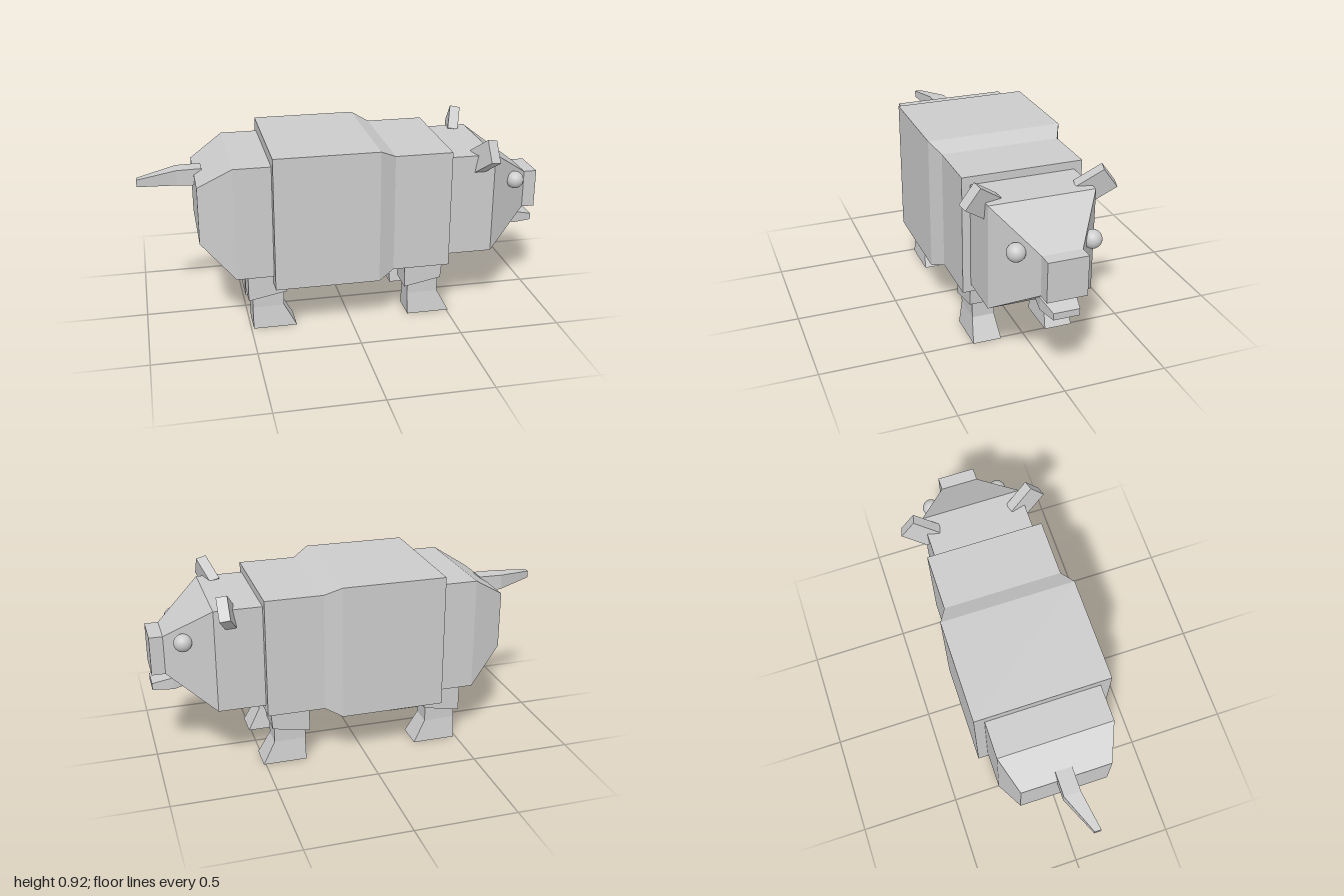
import * as THREE from 'three';

const material = new THREE.MeshStandardMaterial({ color: 0xcccccc, flatShading: true });
const smooth = new THREE.MeshStandardMaterial({ color: 0xcccccc });
const MID = 0.006; // centre line of torso and head

// Closed faceted solid through four-cornered loops
function loft(name, loops) {
  const pos = [];
  const quad = (a, b, c, d) => pos.push(...a, ...b, ...c, ...a, ...c, ...d);
  for (let k = 0; k < loops.length - 1; k++) {
    for (let i = 0; i < 4; i++) {
      const j = (i + 1) % 4;
      quad(loops[k][i], loops[k][j], loops[k + 1][j], loops[k + 1][i]);
    }
  }
  quad(...[...loops[0]].reverse());
  quad(...loops[loops.length - 1]);
  const geo = new THREE.BufferGeometry();
  geo.setAttribute('position', new THREE.Float32BufferAttribute(pos, 3));
  geo.computeVertexNormals();
  const mesh = new THREE.Mesh(geo, material);
  mesh.name = name;
  return mesh;
}

// Rectangle across the x axis: [x, bottom, top, half width, centre z]
const across = ([x, y0, y1, w, z = MID]) =>
  [[x, y0, z - w], [x, y1, z - w], [x, y1, z + w], [x, y0, z + w]];

// Rectangle across the y axis: [back x, front x, half width, back y, front y]
const level = (z) => ([x0, x1, w, y0, y1 = y0]) =>
  [[x0, y0, z - w], [x0, y0, z + w], [x1, y1, z + w], [x1, y1, z - w]];

function leg(name, x, z) {
  const group = new THREE.Group();
  group.name = name;
  group.add(
    loft('upperLeg', [[-0.1, 0.085, 0.07, 0.155, 0.19], [-0.1, 0.097, 0.07, 0.33]].map(level(z))),
    loft('lowerLeg', [[-0.08, 0.135, 0.07, 0], [-0.08, 0.075, 0.055, 0.11], [-0.08, 0.075, 0.055, 0.22]].map(level(z))),
  );
  group.position.x = x;
  return group;
}

// Tilted plate pointing up, outward and slightly forward
function ear(name, side) {
  const length = new THREE.Vector3(0.045, 0.085, 0.115 * side).normalize();
  const width = new THREE.Vector3(0, -0.115 * side, 0.085).normalize();
  const thick = new THREE.Vector3().crossVectors(length, width);
  const mesh = new THREE.Mesh(new THREE.BoxGeometry(0.15, 0.117, 0.052), material);
  mesh.quaternion.setFromRotationMatrix(new THREE.Matrix4().makeBasis(length, width, thick));
  mesh.position.set(0.659, 0.823, 0.271 * side);
  mesh.name = name;
  return mesh;
}

export function createModel() {
  const model = new THREE.Group();
  model.name = 'animal';

  // Trunk, head and tail, each from back to front
  model.add(
    loft('torso', [
      [-0.385, 0.243, 0.906, 0.333], [0.125, 0.243, 0.906, 0.333],
      [0.205, 0.279, 0.865, 0.292], [0.487, 0.279, 0.865, 0.292],
    ].map(across)),
    loft('rump', [
      [-0.728, 0.467, 0.75, 0.222], [-0.565, 0.292, 0.852, 0.282], [-0.36, 0.292, 0.852, 0.282],
    ].map(across)),
    loft('head', [
      [0.46, 0.319, 0.826, 0.253], [0.716, 0.319, 0.826, 0.253],
      [0.935, 0.475, 0.667, 0.095], [1, 0.475, 0.667, 0.095],
    ].map(across)),
    loft('lowerJaw', [
      [0.76, 0.41, 0.46, 0.065], [0.9, 0.384, 0.444, 0.083], [1, 0.384, 0.417, 0.062],
    ].map(across)),
    loft('tail', [
      [-1, 0.72, 0.755, 0.016, 0.058], [-0.81, 0.703, 0.778, 0.041, 0.002], [-0.69, 0.695, 0.78, 0.041, 0.002],
    ].map(across)),
  );

  // Paired parts
  for (const [label, side] of [['Left', 1], ['Right', -1]]) {
    const eye = new THREE.Mesh(new THREE.SphereGeometry(0.043, 24, 16), smooth);
    eye.position.set(0.853, 0.659, MID + 0.178 * side);
    eye.name = 'eye' + label;
    model.add(
      eye,
      ear('ear' + label, side),
      leg('frontLeg' + label, 0.375, 0.185 * side),
      leg('hindLeg' + label, -0.408, 0.185 * side),
    );
  }
  return model;
}
